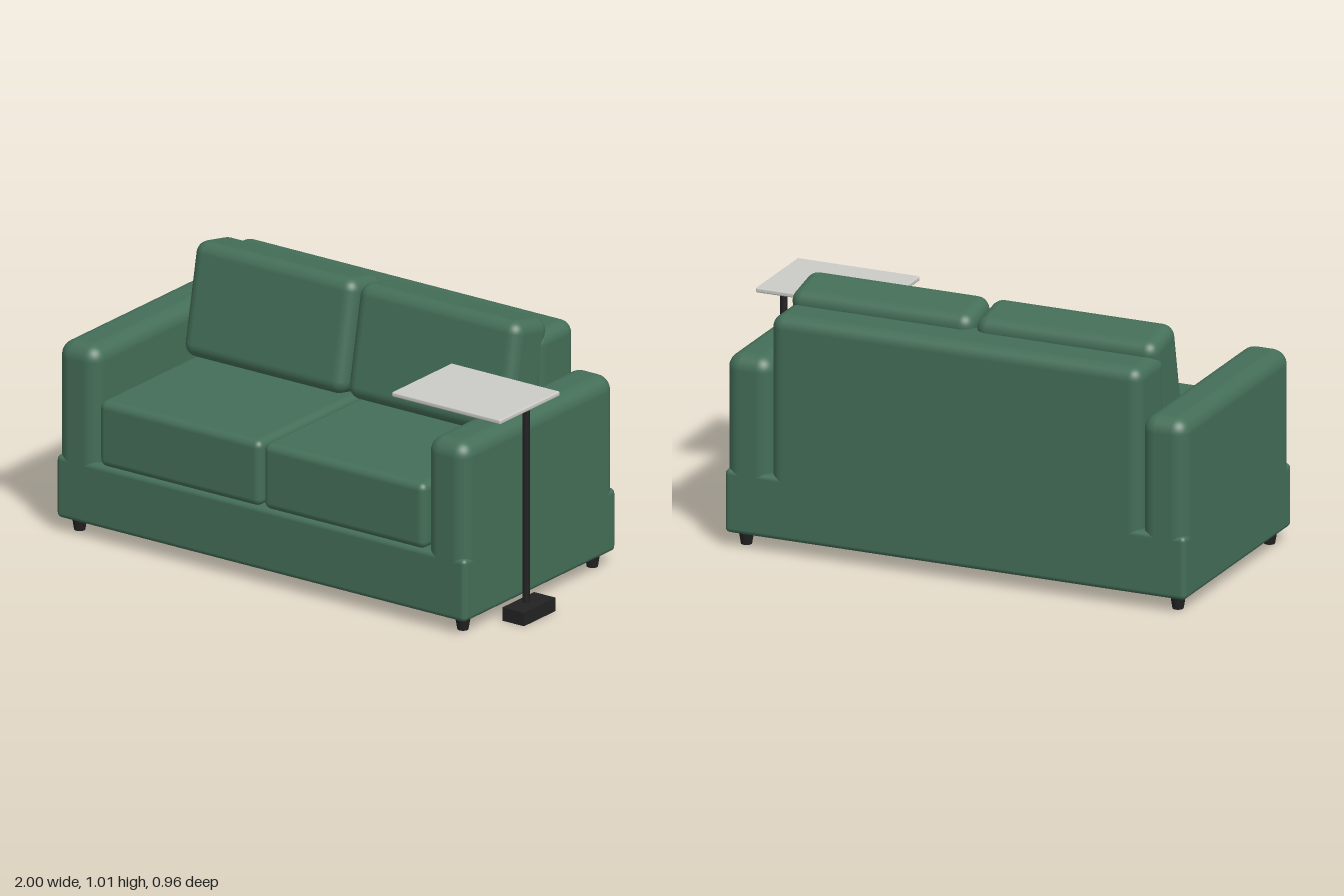
import * as THREE from 'three';
import { RoundedBoxGeometry } from 'three/addons/geometries/RoundedBoxGeometry.js';

export function createModel() {
  const model = new THREE.Group();
  model.name = 'sofaWithSideTable';

  const fabric = new THREE.MeshStandardMaterial({ name: 'green fabric', color: 0x446e58 });
  const black = new THREE.MeshStandardMaterial({ name: 'black', color: 0x222222 });
  const tray = new THREE.MeshStandardMaterial({ name: 'pale tray', color: 0xcbcbc6 });

  function add(name, geometry, material, x, y, z) {
    const mesh = new THREE.Mesh(geometry, material);
    mesh.name = name;
    mesh.position.set(x, y, z);
    model.add(mesh);
    return mesh;
  }

  // Padded block given by its limits on each axis
  function padded(name, [x0, x1], [y0, y1], [z0, z1], radius, material = fabric) {
    const geometry = new RoundedBoxGeometry(x1 - x0, y1 - y0, z1 - z0, 5, radius);
    return add(name, geometry, material, (x0 + x1) / 2, (y0 + y1) / 2, (z0 + z1) / 2);
  }

  const centre = -0.055; // the sofa sits off centre to leave room for the table
  const depth = [-0.478, 0.478];

  // Sofa body
  padded('base', [-1, 0.89], [0.055, 0.305], depth, 0.02);
  padded('backrest', [-0.815, 0.705], [0.06, 0.937], [-0.478, -0.24], 0.05);

  for (const side of [-1, 1]) {
    const label = side > 0 ? 'left' : 'right';

    // Armrest
    const armX = centre + side * 0.852;
    padded(label + 'Armrest', [armX - 0.093, armX + 0.093], [0.06, 0.76], depth, 0.06);

    // Seat cushion and leaning back cushion
    const cushionX = centre + side * 0.379;
    const span = [cushionX - 0.373, cushionX + 0.373];
    padded(label + 'SeatCushion', span, [0.3, 0.562], [-0.26, 0.474], 0.03);
    const cushion = padded(label + 'BackCushion', span, [0.563, 1.007], [-0.292, -0.078], 0.05);
    cushion.rotation.x = -0.2;

    // Tapered feet
    for (const end of [-1, 1]) {
      add(label + (end > 0 ? 'Front' : 'Back') + 'Foot',
        new THREE.CylinderGeometry(0.031, 0.021, 0.06, 20), black,
        centre + side * 0.885, 0.03, end * 0.408);
    }
  }

  // Side table
  add('tableFoot', new THREE.BoxGeometry(0.1, 0.053, 0.2), black, 0.948, 0.0265, 0.152);
  add('tablePole', new THREE.CylinderGeometry(0.014, 0.014, 0.8, 20), black, 0.934, 0.44, 0.152);
  padded('tableTop', [0.48, 0.982], [0.838, 0.857], [0.002, 0.38], 0.006, tray);

  // Control plate on the armrest
  add('armrestPlate', new THREE.BoxGeometry(0.09, 0.008, 0.15), black, 0.8, 0.761, -0.025);

  return model;
}
